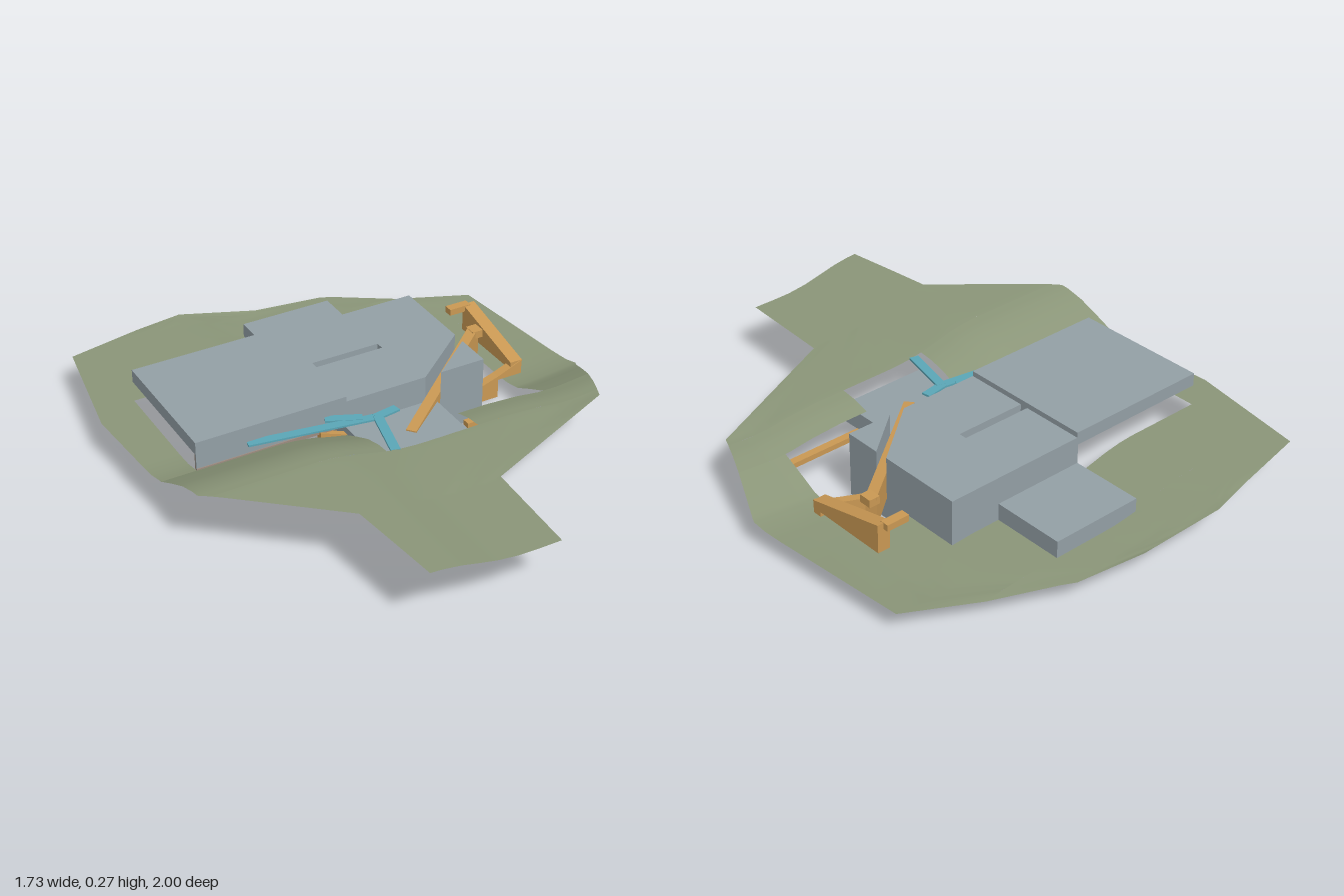
import * as THREE from 'three';
import { mergeVertices } from 'three/addons/utils/BufferGeometryUtils.js';

const mat = (name, color, side = THREE.FrontSide) => {
  const m = new THREE.MeshStandardMaterial({ color, side });
  m.name = name;
  return m;
};

// Piecewise curve through [position, value] pairs, eased between them
const curve = (pts) => (t) => {
  if (t <= pts[0][0]) return pts[0][1];
  for (let i = 1; i < pts.length; i++) {
    const [a, va] = pts[i - 1], [b, vb] = pts[i];
    if (t <= b) return va + (vb - va) * (t - a) / (b - a);
  }
  return pts[pts.length - 1][1];
};

// Ground height is a cross slope in x plus a bank in z
const crossSlope = curve([[-0.4, 0.06], [-0.34, 0.056], [-0.27, 0.045], [-0.2, 0.028], [-0.13, 0.012], [-0.05, 0.002],
  [0.02, 0], [0.35, 0], [0.48, -0.008], [0.57, -0.02], [0.65, -0.021], [0.75, -0.012], [0.86, 0]]);
const bank = curve([[-0.12, 0.08], [-0.05, 0.083], [0.02, 0.098], [0.1, 0.138], [0.18, 0.175], [0.25, 0.195], [0.32, 0.203]]);
const leftEdge = curve([[-1, -0.31], [-0.9, -0.79], [-0.43, -0.87], [0.28, -0.825], [0.63, -0.42], [1, -0.38]]);
const rightEdge = curve([[-1, -0.31], [-0.925, 0.27], [-0.66, 0.8], [0, 0.86], [0.345, 0.72], [0.61, 0.13], [1, 0.11]]);

// Opening in the ground for the house: z from, z to, x from, x to
const openings = [
  [-0.79, -0.51, -0.135, 0.23],
  [-0.51, -0.28, -0.71, 0.435],
  [-0.28, 0.02, -0.71, 0.59],
  [0.02, 0.18, -0.135, 0.59],
  [0.18, 0.31, -0.135, 0.23],
];

function terrainGeometry() {
  const zs = [-1, -0.96, -0.925, -0.9, -0.79, -0.66, -0.51, -0.43, -0.28, -0.12, -0.05, 0, 0.02, 0.06, 0.1, 0.14, 0.18,
    0.215, 0.25, 0.28, 0.31, 0.345, 0.45, 0.61, 0.63, 0.8, 1];
  const pos = [];
  const put = (x, z) => pos.push(x, crossSlope(x) + bank(z), z);
  const N = 28;
  for (let r = 0; r < zs.length - 1; r++) {
    const a = zs[r], b = zs[r + 1], mid = (a + b) / 2;
    const hole = openings.find((o) => mid > o[0] && mid < o[1]);
    const l = [leftEdge(a), leftEdge(b)], e = [rightEdge(a), rightEdge(b)];
    const spans = hole ? [[l, [hole[2], hole[2]]], [[hole[3], hole[3]], e]] : [[l, e]];
    for (const [s, t] of spans) {
      for (let i = 0; i < N; i++) {
        const at = (k, j) => s[k] + (t[k] - s[k]) * j / N;
        const x0 = at(0, i), x1 = at(0, i + 1), x2 = at(1, i), x3 = at(1, i + 1);
        put(x0, a); put(x2, b); put(x1, a);
        put(x1, a); put(x2, b); put(x3, b);
      }
    }
  }
  const g = new THREE.BufferGeometry();
  g.setAttribute('position', new THREE.Float32BufferAttribute(pos, 3));
  const merged = mergeVertices(g, 1e-4);
  merged.computeVertexNormals();
  return merged;
}

export function createModel() {
  const group = new THREE.Group();
  const ground = mat('moss green', 0x8a9578, THREE.DoubleSide);
  const stone = mat('blue grey', 0x939fa5);
  const wood = mat('ochre', 0xc99853);
  const path = mat('teal', 0x5aa6b6);
  const lining = mat('taupe', 0x9c8c80);

  const add = (name, geo, m) => {
    const mesh = new THREE.Mesh(geo, m);
    mesh.name = name;
    group.add(mesh);
    return mesh;
  };
  // Block given by its limits on each axis
  const block = (name, m, x0, x1, y0, y1, z0, z1) =>
    add(name, new THREE.BoxGeometry(x1 - x0, y1 - y0, z1 - z0), m)
      .position.set((x0 + x1) / 2, (y0 + y1) / 2, (z0 + z1) / 2);
  // Straight wall from a to b in plan, with a sloping top
  const ramp = (name, m, a, b, width, base, topA, topB) => {
    const g = new THREE.BoxGeometry(1, 1, 1).toNonIndexed();
    const p = g.attributes.position;
    const dx = b[0] - a[0], dz = b[1] - a[1], len = Math.hypot(dx, dz);
    for (let i = 0; i < p.count; i++) {
      const t = p.getX(i) + 0.5, s = p.getZ(i) * width;
      const y = p.getY(i) < 0 ? base : topA + (topB - topA) * t;
      p.setXYZ(i, a[0] + dx * t - dz / len * s, y, a[1] + dz * t + dx / len * s);
    }
    g.computeVertexNormals();
    return add(name, g, m);
  };
  // Upright prism from a plan outline of [x, z] points
  const prism = (name, m, pts, y0, y1, hole) => {
    const flat = (list) => list.map(([x, z]) => new THREE.Vector2(x, -z));
    const shape = new THREE.Shape(flat(pts));
    if (hole) shape.holes.push(new THREE.Path(flat(hole)));
    const g = new THREE.ExtrudeGeometry(shape, { depth: y1 - y0, bevelEnabled: false });
    g.rotateX(-Math.PI / 2);
    add(name, g, m).position.y = y0;
  };

  add('terrain', terrainGeometry(), ground);

  // House: base, upper storey cut by the diagonal stair, low cross wing
  block('houseBase', stone, -0.135, 0.435, 0, 0.14, -0.51, 0.02);
  prism('upperStorey', stone,
    [[-0.135, 0.02], [0.191, 0.02], [0.435, -0.177], [0.435, -0.51], [-0.135, -0.51]], 0.14, 0.25,
    [[-0.13, -0.262], [0.155, -0.262], [0.155, -0.23], [-0.13, -0.23]]);
  prism('upperCorner', stone, [[0.255, 0.02], [0.435, 0.02], [0.435, -0.125]], 0.14, 0.25);
  block('frontWing', stone, -0.135, 0.23, 0.075, 0.145, 0.02, 0.31);
  block('backWing', stone, -0.135, 0.23, 0.08, 0.145, -0.79, -0.51);

  // Raised roof with its front wall
  block('raisedRoof', stone, -0.71, -0.13, 0.22, 0.27, -0.51, 0.02);
  block('galleryWall', stone, -0.71, -0.135, 0.165, 0.22, 0.014, 0.02);
  block('galleryLining', lining, -0.71, -0.135, 0.15, 0.22, 0.008, 0.014);
  block('gallerySill', lining, -0.71, -0.135, 0.15, 0.165, 0.014, 0.024);

  // Stairs and ramps
  ramp('roofStair', wood, [-0.13, -0.246], [0.155, -0.246], 0.03, 0.13, 0.15, 0.21);
  ramp('diagonalRamp', wood, [0.05, 0.16], [0.57, -0.26], 0.039, 0.085, 0.15, 0.2);
  block('diagonalLanding', wood, 0.545, 0.588, 0.17, 0.2, -0.275, -0.225);
  ramp('outerRamp', wood, [0.64, -0.41], [0.64, -0.07], 0.05, 0.1, 0.21, 0.13);
  block('outerLanding', wood, 0.55, 0.64, 0.185, 0.21, -0.43, -0.395);
  ramp('entryRamp', wood, [0.435, -0.083], [0.56, -0.083], 0.035, 0, 0.05, 0.09);
  ramp('entryRampEnd', wood, [0.56, -0.083], [0.66, -0.083], 0.035, 0.075, 0.09, 0.13);
  block('lowerWalk', wood, 0.27, 0.585, 0.1, 0.12, 0.155, 0.185);
  ramp('sideRamp', wood, [-0.24, 0.02], [-0.135, 0.02], 0.025, 0.08, 0.16, 0.12);

  // Flat walkways
  const walks = [
    [[-0.52, 0.025], [-0.05, 0.1]], [[-0.06, 0.1], [0.035, 0.085]],
    [[-0.05, 0.1], [-0.1, 0.31]], [[-0.22, 0.025], [-0.1, 0.08]],
  ];
  walks.forEach(([a, b], i) => ramp('walkway' + (i + 1), path, a, b, 0.035, 0.203, 0.21 + i * 0.0005, 0.21 + i * 0.0005));

  return group;
}
